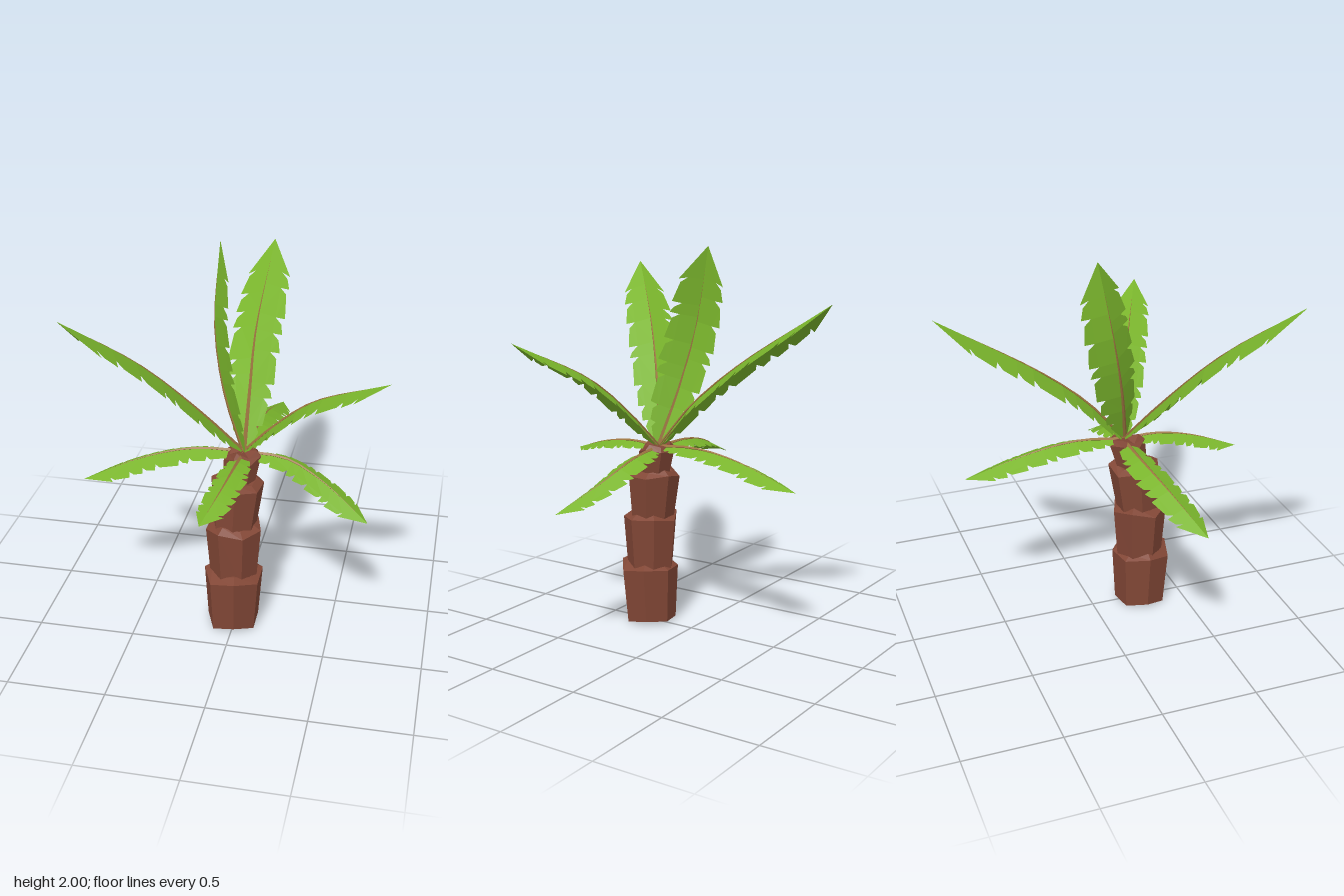
import * as THREE from 'three';

const V = (x, y, z) => new THREE.Vector3(x, y, z);

const leafGreen = new THREE.MeshStandardMaterial({ color: 0x7ab52c, flatShading: true, side: THREE.DoubleSide });
leafGreen.name = 'leaf green';
const barkBrown = new THREE.MeshStandardMaterial({ color: 0x824736, flatShading: true });
barkBrown.name = 'bark brown';
const ribBrown = new THREE.MeshStandardMaterial({ color: 0x9c7440, flatShading: true });
ribBrown.name = 'rib brown';

// Half width of a frond along its length, relative to its widest place
const PROFILE = [[0, 0.12], [0.08, 0.5], [0.2, 0.8], [0.4, 1], [0.7, 1], [0.84, 0.85], [1, 0]];
function widthAt(s) {
  for (let i = 1; i < PROFILE.length; i++) {
    const [s0, w0] = PROFILE[i - 1], [s1, w1] = PROFILE[i];
    if (s <= s1) return w0 + (w1 - w0) * (s - s0) / (s1 - s0);
  }
  return 0;
}

// Torn, roof-shaped blade: two halves, each a row of teeth with notches between
function bladeGeometry(curve, halfWidth, upHint, seed) {
  const teeth = 8, tipStart = 0.84, droop = 0.4;
  const point = (s, k) => {
    const t = Math.min(Math.max(s, 0), 1);
    const T = curve.getTangentAt(t);
    const L = T.clone().cross(upHint).normalize();
    const N = L.clone().cross(T);
    const w = widthAt(t) * halfWidth * k;
    return curve.getPointAt(t).addScaledVector(L, w).addScaledVector(N, -Math.abs(w) * droop);
  };
  const pos = [];
  for (const side of [-1, 1]) {
    const tri = (a, b, c) => {
      for (const p of side > 0 ? [a, b, c] : [a, c, b]) pos.push(p.x, p.y, p.z);
    };
    const quad = (a, b, c, d) => { tri(a, b, c); tri(a, c, d); };
    const cut = (i) => {
      if (i === 0) return 0;
      if (i === teeth) return tipStart;
      return (i + 0.25 * Math.sin(seed * 3.1 + i * 2.3 + side)) * tipStart / teeth;
    };
    for (let i = 0; i < teeth; i++) {
      const a = cut(i), b = cut(i + 1);
      const n0 = point(a, side * 0.68), n1 = point(b, side * 0.68);
      quad(point(a, 0), n0, n1, point(b, 0));
      quad(n0, point(a + 0.004, side * 1.06), point(b - 0.026, side * 0.95), n1);
    }
    // Pointed end
    const n = point(tipStart, side * 0.68), tip = point(1, 0);
    tri(point(tipStart, 0), n, tip);
    tri(n, point(tipStart - 0.01, side * 1.06), tip);
  }
  const g = new THREE.BufferGeometry();
  g.setAttribute('position', new THREE.Float32BufferAttribute(pos, 3));
  g.computeVertexNormals();
  return g;
}

// Thin rib that tapers along the frond
function ribGeometry(curve) {
  const rings = 10, sides = 4;
  const g = new THREE.TubeGeometry(curve, rings, 0.011, sides, false);
  const p = g.attributes.position, v = V(0, 0, 0);
  for (let k = 0; k < p.count; k++) {
    const t = Math.floor(k / (sides + 1)) / rings;
    v.fromBufferAttribute(p, k).lerp(curve.getPointAt(t), Math.min(1, t * 1.15));
    p.setXYZ(k, v.x, v.y, v.z);
  }
  g.computeVertexNormals();
  return g;
}

// Trunk piece: flares upward, leans from one centre to the next, uneven rim
function trunkGeometry({ y0, y1, r0, r1, c0, c1, turn }) {
  const h = y1 - y0, sides = 7;
  const profile = [[0, 0], [r0, 0], [r1, h], [r1 * 0.72, h + 0.025], [0, h + 0.025]];
  const g = new THREE.LatheGeometry(profile.map(([r, y]) => new THREE.Vector2(r, y)), sides, turn);
  const p = g.attributes.position;
  for (let k = 0; k < p.count; k++) {
    const x = p.getX(k), y = p.getY(k), z = p.getZ(k), t = y / h;
    const rim = Math.hypot(x, z) > 0.01 ? Math.sin(3 * Math.atan2(x, z) + turn * 4) : 0;
    p.setXYZ(k,
      x + c0[0] + (c1[0] - c0[0]) * t,
      y0 + y + rim * 0.016 + (y0 < 0.1 && t === 0 ? 0.004 : 0),
      z + c0[1] + (c1[1] - c0[1]) * t);
  }
  g.computeVertexNormals();
  return g;
}

export function createModel() {
  const model = new THREE.Group();
  model.name = 'palmTree';

  const trunk = new THREE.Group();
  trunk.name = 'trunk';
  model.add(trunk);
  [
    { y0: 0.012, y1: 0.305, r0: 0.135, r1: 0.155, c0: [-0.01, 0.27], c1: [-0.005, 0.275], turn: 0.2 },
    { y0: 0.29, y1: 0.58, r0: 0.122, r1: 0.145, c0: [-0.005, 0.262], c1: [-0.005, 0.26], turn: 0.5 },
    { y0: 0.57, y1: 0.815, r0: 0.112, r1: 0.138, c0: [-0.005, 0.252], c1: [0.006, 0.235], turn: 0.1 },
    { y0: 0.8, y1: 0.955, r0: 0.08, r1: 0.096, c0: [0.012, 0.225], c1: [0.026, 0.195], turn: 0.6 },
  ].forEach((s, i) => {
    const mesh = new THREE.Mesh(trunkGeometry(s), barkBrown);
    mesh.name = `trunkSegment${i + 1}`;
    trunk.add(mesh);
  });

  // Fronds: path from the crown, half width, and the direction the ridge faces
  const up = V(0, 1, 0);
  const fronds = [
    ['tallBackFrond', 0.125, up, [0.03, 0.97, 0.18], [0.02, 1.2, -0.01], [0.0, 1.43, -0.28], [0.01, 1.76, -0.795]],
    ['tallFrontFrond', 0.125, up, [0.03, 0.97, 0.18], [-0.17, 1.26, 0.33], [-0.4, 1.57, 0.53], [-0.68, 1.865, 0.8]],
    ['leftRisingFrond', 0.1, up, [0.03, 0.97, 0.18], [0.2, 1.17, 0.25], [0.4, 1.36, 0.34], [0.77, 1.565, 0.52]],
    ['uprightFrond', 0.13, V(-1, 0, 0.3), [0.03, 0.97, 0.19], [-0.08, 1.27, 0.13], [-0.14, 1.6, 0.06], [-0.125, 2, -0.02]],
    ['rightDroopingFrond', 0.092, up, [0.03, 0.97, 0.18], [-0.22, 0.965, 0.185], [-0.48, 0.91, 0.23], [-0.775, 0.795, 0.31]],
    ['leftDroopingFrond', 0.09, up, [0.03, 0.97, 0.18], [0.25, 0.95, 0.18], [0.45, 0.86, 0.23], [0.68, 0.725, 0.35]],
    ['frontDroopingFrond', 0.08, up, [0.03, 0.97, 0.18], [0.02, 0.98, 0.36], [-0.01, 0.95, 0.56], [-0.065, 0.88, 0.78]],
    ['backDroopingFrond', 0.09, up, [0.03, 0.97, 0.18], [0.05, 0.99, -0.06], [0.06, 0.955, -0.32], [0.09, 0.85, -0.66]],
  ];
  fronds.forEach(([name, halfWidth, hint, ...path], i) => {
    const curve = new THREE.CatmullRomCurve3(path.map((p) => V(...p)));
    const frond = new THREE.Group();
    frond.name = name;
    const blade = new THREE.Mesh(bladeGeometry(curve, halfWidth, hint, i + 1), leafGreen);
    blade.name = 'blade';
    const rib = new THREE.Mesh(ribGeometry(curve), ribBrown);
    rib.name = 'rib';
    frond.add(blade, rib);
    model.add(frond);
  });
  return model;
}
